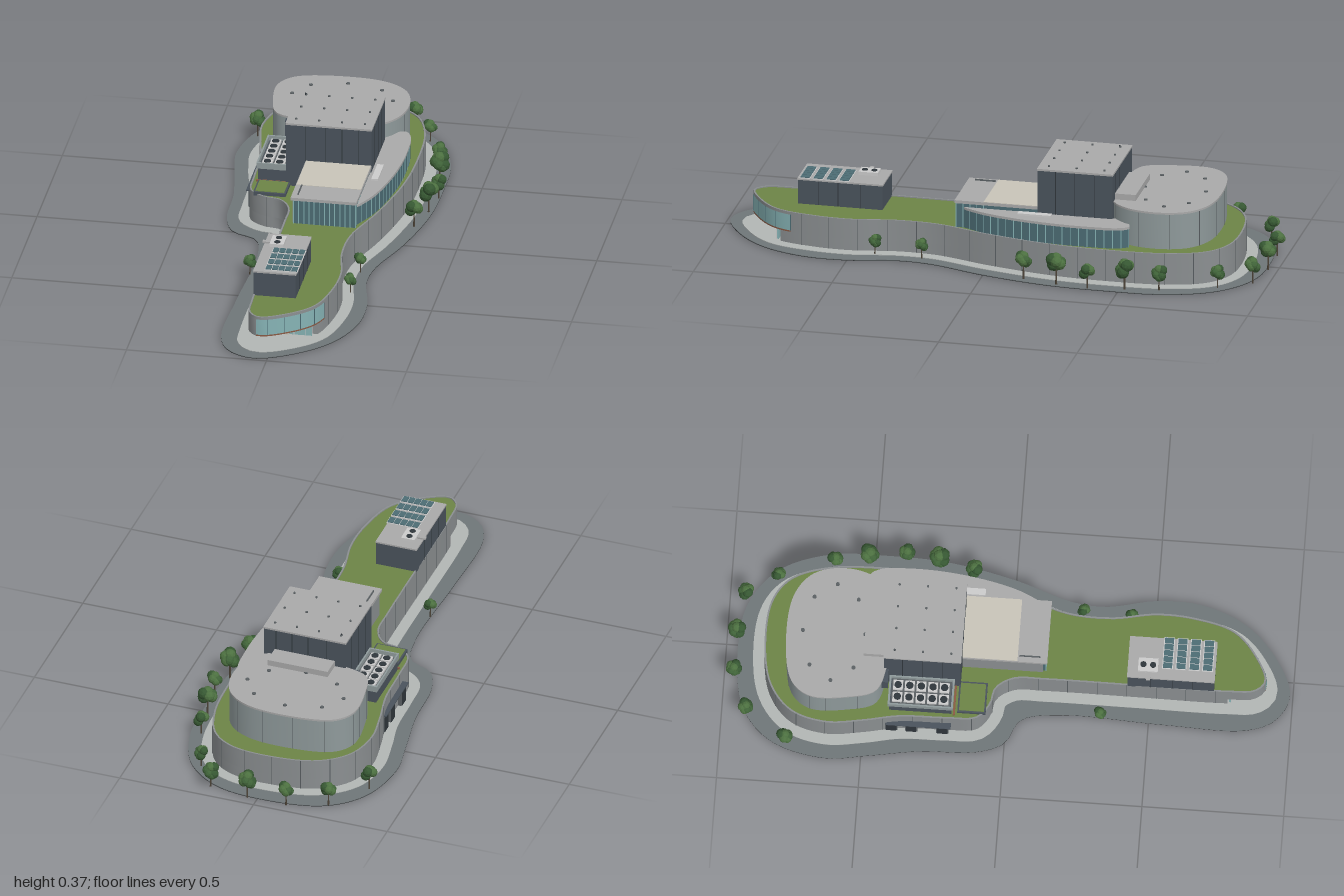
import * as THREE from 'three';
import { toCreasedNormals } from 'three/addons/utils/BufferGeometryUtils.js';

const C = {
  base: 0x323637, road: 0x6f7678, walk: 0xb2b6b4, wall: 0x8b8f91, grass: 0x6c8446, dark: 0x4a535c,
  roof: 0xa9a9a9, beige: 0xc8c4b8, glass: 0x86b3b5, teal: 0x4c6c74, drum: 0x8f9a9b, line: 0x5a6063,
  trim: 0xc3c7c6, brown: 0x8a5a44, trunk: 0x4d4438, deep: 0x2f363b,
};
const mats = {};
const mat = (c) => (mats[c] ??= new THREE.MeshStandardMaterial({ color: c, side: THREE.DoubleSide }));
const leafMats = [0x3f6238, 0x4c7040, 0x365732].map(
  (color) => new THREE.MeshStandardMaterial({ color, flatShading: true }));

// Smooth closed outline through [x, z] points
function outline(pts, n = 140) {
  const curve = new THREE.CatmullRomCurve3(pts.map(([x, z]) => new THREE.Vector3(x, 0, z)), true);
  return curve.getSpacedPoints(n).slice(0, n).map((p) => [p.x, p.z]);
}

// Move a clockwise-from-below outline outwards by d
function offset(pts, d) {
  const area = pts.reduce((s, p, i) => {
    const q = pts[(i + 1) % pts.length];
    return s + p[0] * q[1] - q[0] * p[1];
  }, 0);
  const k = Math.sign(area) * d;
  return pts.map((p, i) => {
    const a = pts[(i + pts.length - 1) % pts.length], b = pts[(i + 1) % pts.length];
    const dx = b[0] - a[0], dz = b[1] - a[1], l = Math.hypot(dx, dz) || 1;
    return [p[0] + (dz / l) * k, p[1] - (dx / l) * k];
  });
}

export function createModel() {
  const model = new THREE.Group();
  const add = (name, geo, color, parent = model) => {
    const m = new THREE.Mesh(geo, typeof color === 'number' ? mat(color) : color);
    m.name = name;
    parent.add(m);
    return m;
  };
  const box = (name, x0, x1, y0, y1, z0, z1, color, parent) => {
    const g = new THREE.BoxGeometry(x1 - x0, y1 - y0, z1 - z0);
    g.translate((x0 + x1) / 2, (y0 + y1) / 2, (z0 + z1) / 2);
    return add(name, g, color, parent);
  };
  const toVec = (p) => new THREE.Vector2(p[0], -p[1]);
  const slab = (name, pts, y0, y1, color, hole) => {
    const s = new THREE.Shape(pts.map(toVec));
    if (hole) s.holes.push(new THREE.Path(hole.map(toVec)));
    const g = new THREE.ExtrudeGeometry(s, { depth: y1 - y0, bevelEnabled: false });
    g.rotateX(-Math.PI / 2).translate(0, y0, 0);
    return add(name, toCreasedNormals(g, 0.6), color);
  };
  // Upright open band along a line of points
  const band = (name, pts, y0, y1, color) => {
    const g = new THREE.PlaneGeometry(1, 1, pts.length - 1, 1), a = g.attributes.position;
    for (let i = 0; i < a.count; i++) {
      const p = pts[i % pts.length];
      a.setXYZ(i, p[0], i < pts.length ? y1 : y0, p[1]);
    }
    g.computeVertexNormals();
    return add(name, g, color);
  };
  // Thin upright bars at points
  const bars = (name, pts, y0, y1, w, color) => {
    const group = new THREE.Group();
    group.name = name;
    for (const [x, z] of pts) box(name + 'Bar', x - w / 2, x + w / 2, y0, y1, z - w / 2, z + w / 2, color, group);
    model.add(group);
  };
  const disc = (name, x, y, z, r, h, color) =>
    add(name, new THREE.CylinderGeometry(r, r, h, 14), color).position.set(x, y, z);
  const every = (pts, n) => pts.filter((_, i) => i % n === 0);

  // Site plate, road and pavement
  const site = outline([[-.02, -.96], [.16, -.935], [.29, -.835], [.36, -.66], [.37, -.45], [.36, -.24], [.31, 0],
    [.245, .2], [.235, .32], [.27, .5], [.265, .66], [.2, .82], [.08, .935], [-.05, .99], [-.145, .945],
    [-.19, .845], [-.19, .55], [-.18, .185], [-.21, .05], [-.3, 0], [-.34, -.1], [-.35, -.29], [-.38, -.475],
    [-.4, -.63], [-.35, -.82], [-.235, -.925]]);
  slab('sitePlate', site, 0, .002, C.base);
  slab('road', site, .002, .004, C.road);
  const plan = outline([[-.02, -.865], [.135, -.85], [.22, -.79], [.27, -.66], [.283, -.45], [.27, -.24], [.22, 0],
    [.16, .2], [.155, .35], [.18, .5], [.175, .63], [.135, .78], [.055, .86], [-.045, .905], [-.085, .87],
    [-.095, .77], [-.095, .45], [-.095, .13], [-.1, .02], [-.14, -.04], [-.2, -.055], [-.255, -.1],
    [-.265, -.21], [-.27, -.37], [-.295, -.5], [-.31, -.63], [-.275, -.755], [-.18, -.835]], 200);
  slab('pavement', offset(plan, .04), .004, .006, C.walk);

  // Podium with recessed entrance, planted roof and panel joints
  slab('podiumGroundFloor', plan.filter((p) => p[1] <= .78), .006, .047, C.wall);
  slab('podiumUpperFloor', plan, .047, .115, C.wall);
  slab('parapet', plan, .115, .122, C.wall, offset(plan, -.006));
  slab('grassRoof', offset(plan, -.006), .115, .118, C.grass);
  const joints = every(offset(plan, -.0003), 5);
  bars('panelJoints', joints.filter((p) => p[1] < .73), .006, .122, .0022, C.line);
  const front = offset(plan, .0015).filter((p) => p[1] > .72 && p[0] > -.07);
  band('frontWindow', front, .053, .112, C.glass);
  band('frontWindowSill', offset(plan, .002).filter((p) => p[1] > .72 && p[0] > -.07), .048, .053, C.brown);
  bars('frontMullions', every(front, 3), .053, .112, .002, C.teal);
  box('entranceGlass', -.09, .125, .006, .045, .778, .785, C.glass);
  bars('entranceMullions', [-.09, -.05, -.01, .06, .1, .125].map((x) => [x, .786]), .006, .045, .0025, C.trim);
  box('entranceDoor', .015, .043, .006, .034, .784, .789, C.beige);

  // Side doors and windows at ground level
  for (const z of [-.4, -.33, -.22]) {
    box('serviceDoorFrame', -.279, -.25, .006, .07, z - .022, z + .022, C.line);
    box('serviceDoor', -.281, -.25, .006, .064, z - .018, z + .018, C.deep);
  }
  box('canopy', -.287, -.26, .072, .076, -.42, -.19, C.dark);

  // Rear rounded hall
  const hall = outline([[-.26, -.69], [-.21, -.755], [-.05, -.785], [.11, -.768], [.19, -.71], [.22, -.61], [.2, -.5],
    [.14, -.435], [0, -.425], [-.145, -.43], [-.225, -.46], [-.255, -.555]], 100);
  slab('hallWall', hall, .115, .248, C.drum);
  slab('hallRoof', offset(hall, .002), .248, .255, C.roof);
  bars('hallJoints', every(hall, 8), .118, .248, .002, C.line);
  for (let i = 0; i < 8; i++) {
    const t = (i / 8) * Math.PI * 2;
    disc('hallRoofVent', -.02 + .18 * Math.cos(t), .256, -.62 + .11 * Math.sin(t), .007, .005, C.line);
  }
  box('hallRoofPlant', -.1, .125, .25, .277, -.51, -.43, C.roof);
  box('hallSideLouvre', -.19, -.135, .185, .245, -.45, -.418, C.dark);

  // Stage tower
  box('stageTower', -.14, .165, .115, .355, -.435, -.165, C.dark);
  box('stageTowerRoof', -.142, .167, .355, .362, -.437, -.163, C.roof);
  const seams = [];
  for (const x of [-.07, 0, .06, .12]) seams.push([x, -.165], [x, -.435]);
  for (const z of [-.37, -.3, -.23]) seams.push([-.14, z], [.165, z]);
  bars('towerSeams', seams, .118, .355, .002, C.deep);
  for (let i = 0; i < 4; i++) for (const z of [-.4, -.3, -.2])
    disc('towerRoofVent', -.11 + i * .082, .364, z, .004, .005, C.line);
  box('towerMast', -.114, -.11, .36, .37, -.4, -.396, C.deep);

  // Foyer in front of the tower
  box('foyerWall', -.066, .05, .115, .208, -.165, .12, C.wall);
  box('foyerGlass', -.06, .161, .115, .208, -.165, .13, C.teal);
  box('foyerRoof', -.07, .165, .208, .219, -.165, .135, C.roof);
  box('foyerTerrace', -.068, .163, .219, .2205, -.165, .03, C.beige);
  box('foyerRoofRail', -.05, -.046, .219, .224, .035, .11, C.line);
  const foyerBars = [];
  for (let i = 0; i <= 12; i++) foyerBars.push([-.06 + i * .0184, .13]);
  for (let i = 1; i <= 4; i++) foyerBars.push([.161, .13 - i * .025]);
  bars('foyerMullions', foyerBars, .118, .208, .003, C.glass);

  // Curved glazed gallery along the left side
  const galleryCurve = new THREE.CatmullRomCurve3([[.16, -.45], [.19, -.49], [.225, -.508], [.248, -.47], [.256, -.38],
    [.253, -.25], [.232, -.1], [.2, .02], [.16, .105]].map(([x, z]) => new THREE.Vector3(x, 0, z)));
  const gallery = galleryCurve.getSpacedPoints(48).map((p) => [p.x, p.z]);
  slab('galleryGlass', gallery, .115, .186, C.teal);
  slab('galleryRoof', offset(gallery, .003), .186, .195, C.roof);
  bars('galleryMullions', every(gallery, 2), .118, .186, .0025, C.glass);
  box('gallerySkylight', .176, .2, .195, .202, -.22, -.1, C.trim);

  // Roof plant enclosure with fans, and small planted terrace
  box('plantRoom', -.245, -.14, .115, .168, -.41, -.19, C.dark);
  box('plantDeck', -.24, -.14, .168, .171, -.405, -.195, C.line);
  for (const [x0, x1, z0, z1] of [[-.25, -.14, -.415, -.408], [-.25, -.14, -.192, -.185],
    [-.25, -.244, -.415, -.185], [-.146, -.14, -.415, -.185]])
    box('plantParapet', x0, x1, .165, .187, z0, z1, C.drum);
  for (let i = 0; i < 5; i++) for (const x of [-.216, -.172]) {
    box('fanHousing', x - .018, x + .018, .171, .18, -.4 + i * .041, -.366 + i * .041, C.trim);
    disc('fan', x, .181, -.383 + i * .041, .013, .004, C.deep);
  }
  box('plantEdge', -.25, -.14, .118, .124, -.185, -.178, C.brown);
  box('terraceKerb', -.24, -.125, .115, .13, -.17, -.07, C.dark);
  box('terracePlanting', -.234, -.131, .13, .132, -.164, -.076, C.grass);

  // Front rooftop pavilion with skylights and air unit
  box('pavilion', -.095, .055, .115, .207, .42, .725, C.dark);
  box('pavilionRoof', -.097, .057, .207, .213, .418, .727, C.roof);
  bars('pavilionSeams', [.5, .58, .65].flatMap((z) => [[-.095, z], [.055, z]]), .118, .207, .002, C.deep);
  for (let i = 0; i < 4; i++) {
    const z = .542 + i * .047;
    box('skylightFrame', -.058, .06, .213, .217, z - .003, z + .035, C.trim);
    for (let j = 0; j < 5; j++)
      box('skylightPane', -.055 + j * .023, -.035 + j * .023, .215, .22, z, z + .032, C.teal);
  }
  box('airUnit', -.075, -.025, .213, .225, .455, .525, C.trim);
  for (const z of [.473, .507]) disc('airUnitFan', -.05, .2255, z, .011, .003, C.deep);
  box('airDuct', -.105, -.07, .213, .219, .485, .5, C.roof);

  // Trees: trunk and clustered faceted crown
  const trees = [[-.35, -.77, .031], [-.25, -.915, .03], [-.11, -.967, .03], [.035, -.967, .034], [.18, -.945, .031],
    [.255, -.835, .027], [.325, -.64, .03], [.345, -.52, .037], [.365, -.39, .03], [.35, -.275, .038],
    [.32, -.15, .033], [.2, .245, .024], [.195, .415, .024], [-.18, .33, .024]];
  trees.forEach(([x, z, r], n) => {
    const tree = new THREE.Group();
    tree.name = 'tree';
    add('trunk', new THREE.CylinderGeometry(r * .07, r * .1, r * 1.7, 6), C.trunk, tree).position.y = r * .85;
    for (let i = 0; i < 8; i++) {
      const a = i * 2.4 + n, h = i === 7 ? .45 : ((i * 3) % 7) / 7 * .9 - .4;
      const d = i === 7 ? 0 : .42 * Math.sqrt(1 - h * h);
      const leaf = add('crown', new THREE.IcosahedronGeometry(r * (.52 + .04 * (i % 3)), 1), leafMats[i % 3], tree);
      leaf.position.set(Math.cos(a) * d * r, r * (2.15 + h), Math.sin(a) * d * r);
      leaf.rotation.set(a, a * 2, 0);
    }
    tree.position.set(x, .003, z);
    model.add(tree);
  });
  return model;
}
